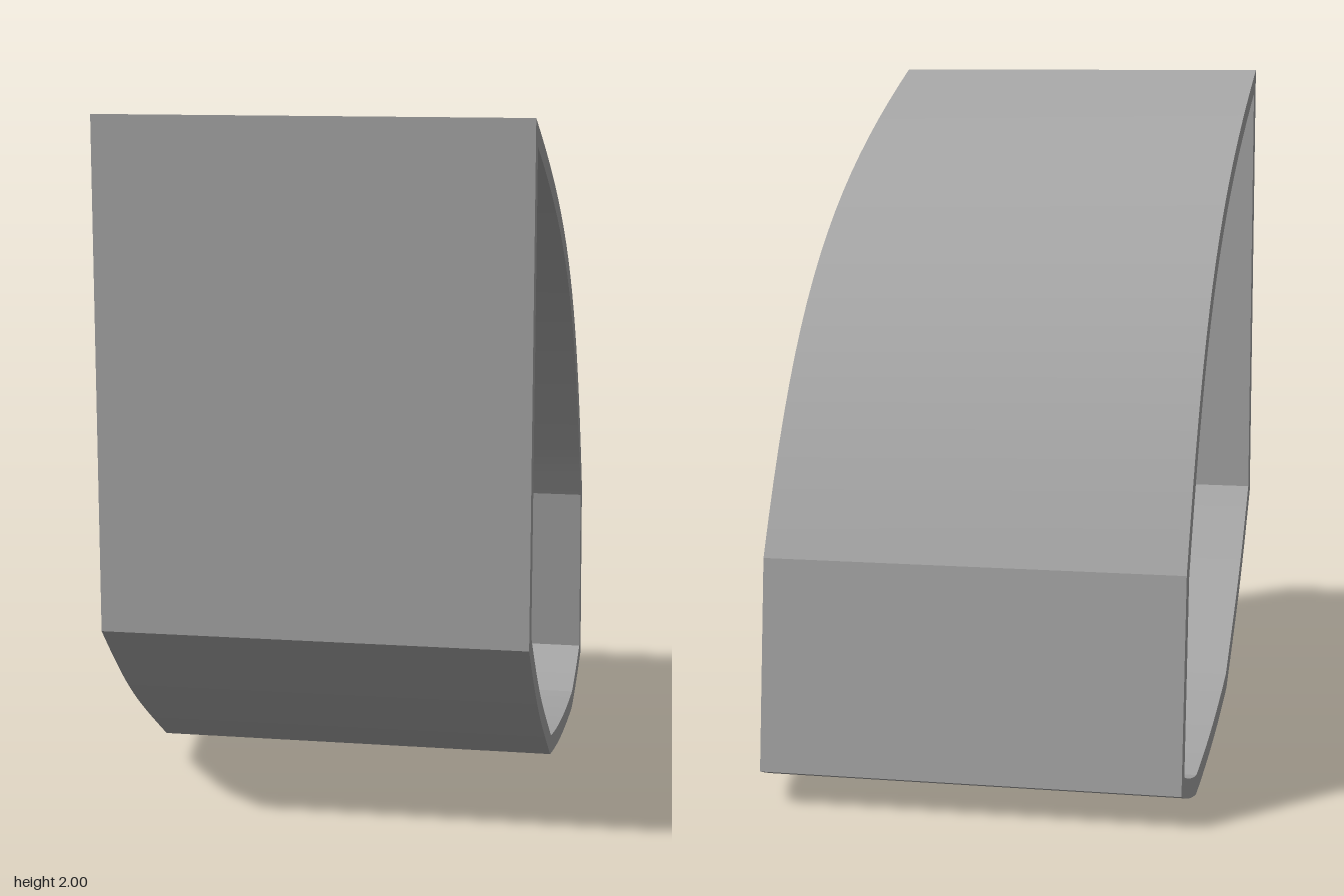
import * as THREE from 'three';
import { toCreasedNormals } from 'three/addons/utils/BufferGeometryUtils.js';

const WIDTH = 1.17;
const WALL = 0.054;

// Side profile as (z, y), counterclockwise: two points make a straight run, four a cubic curve
const RUNS = [
  [[0.885, 2], [-0.13, 1.645], [-0.47, 1.375], [-0.815, 0.685]],
  [[-0.815, 0.685], [-0.88, 0.097]],
  [[-0.88, 0.097], [-0.77, 0.055], [-0.66, 0.02], [-0.553, 0]],
  [[-0.553, 0], [-0.3, 0.008], [-0.04, 0.038], [0.22, 0.095]],
  [[0.22, 0.095], [0.56, 0.31], [0.62, 0.345], [0.885, 0.6]],
  [[0.885, 0.6], [0.885, 2]],
];

function outline() {
  return RUNS.flatMap((run) => {
    const pts = run.map(([z, y]) => new THREE.Vector2(z, y));
    if (pts.length === 2) return [pts[0]];
    return new THREE.CubicBezierCurve(...pts).getPoints(20).slice(0, -1);
  });
}

// Move a closed outline inward by d, with mitred corners
function inset(pts, d) {
  const normal = (a, b) => new THREE.Vector2(a.y - b.y, b.x - a.x).normalize();
  return pts.map((p, i) => {
    const n1 = normal(pts[(i + pts.length - 1) % pts.length], p);
    const n2 = normal(p, pts[(i + 1) % pts.length]);
    return n1.clone().add(n2).multiplyScalar(d / (1 + n1.dot(n2))).add(p);
  });
}

export function createModel() {
  const group = new THREE.Group();
  group.name = 'openSleeve';

  const outer = outline();
  const shape = new THREE.Shape(outer);
  shape.holes.push(new THREE.Path(inset(outer, WALL).reverse()));

  // Thin wall swept across the width, open at both sides
  let geometry = new THREE.ExtrudeGeometry(shape, { depth: WIDTH, bevelEnabled: false });
  geometry.translate(0, 0, -WIDTH / 2);
  geometry.rotateY(-Math.PI / 2);
  geometry = toCreasedNormals(geometry, 0.12);

  const shell = new THREE.Mesh(geometry, new THREE.MeshStandardMaterial({ color: 0xa5a5a5 }));
  shell.name = 'shell';
  group.add(shell);
  return group;
}
